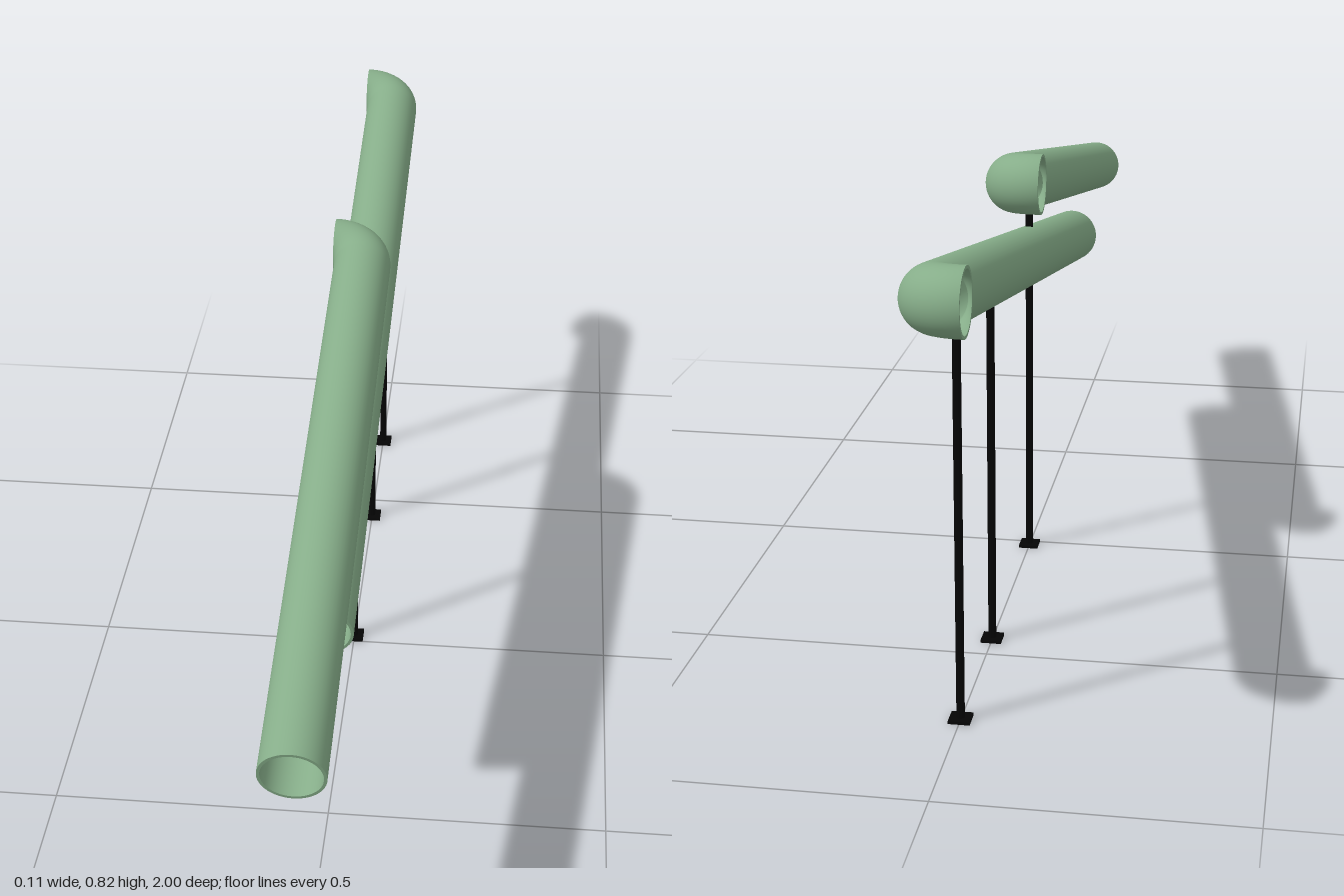
import * as THREE from 'three';

const OUTER = 0.053, INNER = 0.048, BEND = 0.055;
const SLOPE = Math.atan(0.1955);

export function createModel() {
  const model = new THREE.Group();
  const green = new THREE.MeshStandardMaterial({ color: 0x86ad89, side: THREE.DoubleSide });
  green.name = 'pipe green';
  const black = new THREE.MeshStandardMaterial({ color: 0x050505 });
  black.name = 'post black';

  const add = (parent, name, geometry, material) => {
    const mesh = new THREE.Mesh(geometry, material);
    mesh.name = name;
    parent.add(mesh);
    return mesh;
  };

  // Hollow sloping pipe; origin at its open front end, elbow turns to -x at the back
  function addPipe(name, y, z, length) {
    const pipe = new THREE.Group();
    pipe.name = name;
    for (const [skin, r] of [['Outer', OUTER], ['Inner', INNER]]) {
      const straight = new THREE.CylinderGeometry(r, r, length, 48, 1, true).rotateX(Math.PI / 2);
      add(pipe, 'straight' + skin, straight, green).position.z = -length / 2;
      const bend = new THREE.TorusGeometry(BEND, r, 48, 20, Math.PI / 2).rotateX(-Math.PI / 2);
      add(pipe, 'elbow' + skin, bend, green).position.set(-BEND, 0, -length);
    }
    // Wall thickness at both open ends
    add(pipe, 'frontRim', new THREE.RingGeometry(INNER, OUTER, 48), green);
    const rim = add(pipe, 'elbowRim', new THREE.RingGeometry(INNER, OUTER, 48), green);
    rim.rotation.y = -Math.PI / 2;
    rim.position.set(-BEND, 0, -length - BEND);
    pipe.rotation.x = SLOPE;
    pipe.position.set(0, y, z);
    model.add(pipe);
  }
  addPipe('upperPipe', 0.533, 0.99, 1.182);
  addPipe('lowerPipe', 0.472, 0.57, 1.491);

  // Thin posts on square foot plates
  for (const [z, height] of [[-0.017, 0.677], [-0.44, 0.618], [-0.74, 0.677]]) {
    const post = new THREE.Group();
    post.name = 'supportPost';
    add(post, 'rod', new THREE.CylinderGeometry(0.007, 0.007, height, 16), black).position.y = height / 2;
    add(post, 'footPlate', new THREE.BoxGeometry(0.036, 0.005, 0.036), black).position.y = 0.0025;
    post.position.z = z;
    model.add(post);
  }
  return model;
}
